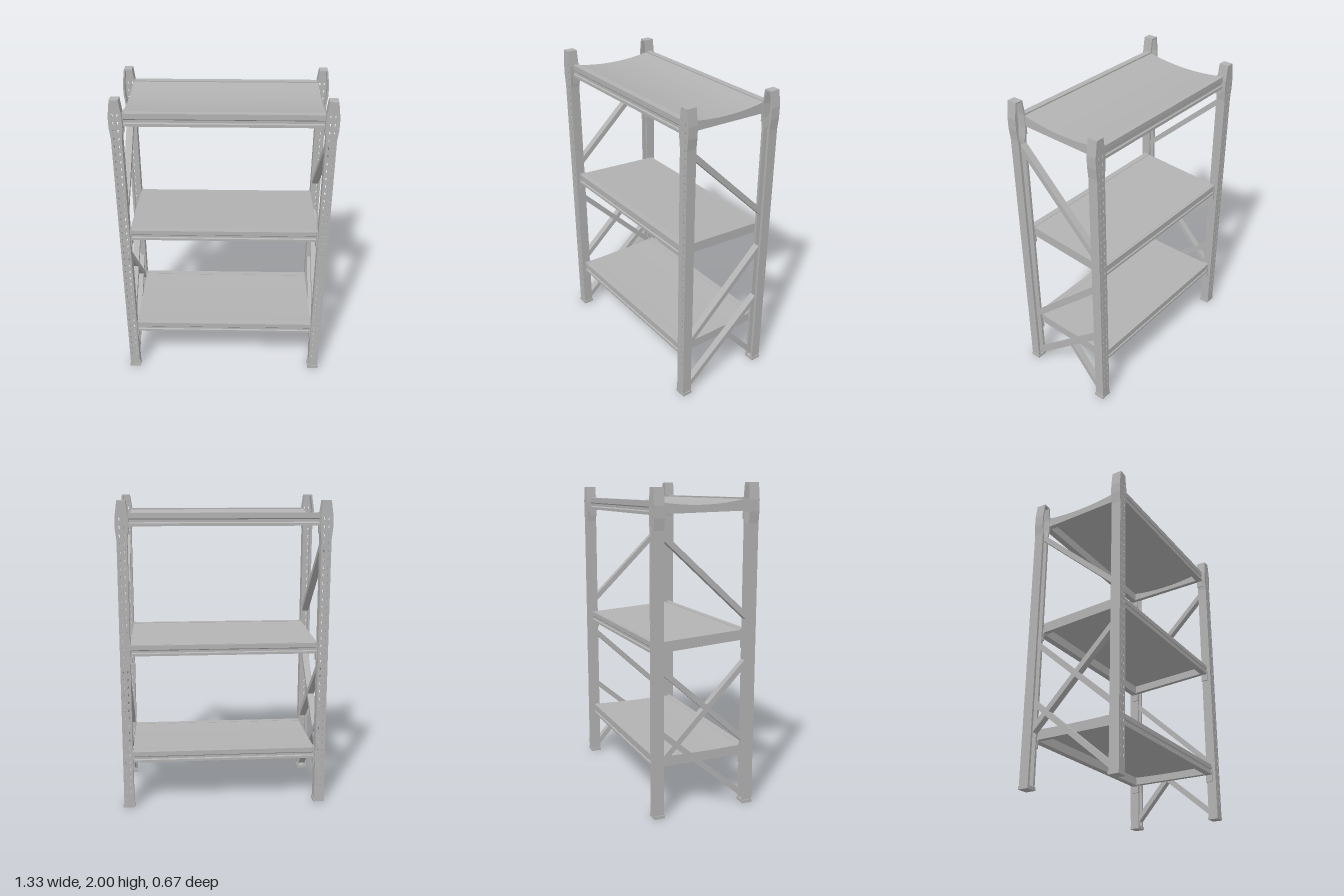
import * as THREE from 'three';

const steel = new THREE.MeshStandardMaterial({ color: 0xb2b2b2, side: THREE.DoubleSide });
steel.name = 'grey steel';

const POST_X = 0.627, POST_Z = 0.302, HALF = 0.032;

function add(parent, geometry, name, x = 0, y = 0, z = 0) {
  const mesh = new THREE.Mesh(geometry, steel);
  mesh.name = name;
  mesh.position.set(x, y, z);
  parent.add(mesh);
  return mesh;
}

const shapeOf = pts => new THREE.Shape(pts.map(p => new THREE.Vector2(p[0], p[1])));
const extrude = (shape, depth) => new THREE.ExtrudeGeometry(shape, { depth, bevelEnabled: false });

// Extrudes a side profile given as [z, y] along x, centred on x = 0
function sideExtrude(pts, length) {
  const g = extrude(shapeOf(pts.map(([z, y]) => [-z, y])), length);
  return g.rotateY(Math.PI / 2).translate(-length / 2, 0, 0);
}

// Upright: perforated outer face, two side flanges, open towards the shelf middle
function post(height) {
  const g = new THREE.Group();
  const edge = [[HALF, 0.01], [HALF, height - 0.24], [0.04, height - 0.17],
    [0.04, height - 0.1], [0.026, height]];
  const mirrored = edge.map(([x, y]) => [-x, y]);
  const face = shapeOf([...edge, ...mirrored.slice().reverse()]);
  // Slots in two columns
  for (let y = 0.1; y < height - 0.08; y += 0.05) {
    for (const s of [-1, 1]) {
      const x = s * 0.014, lean = s * 0.002;
      face.holes.push(new THREE.Path([
        new THREE.Vector2(x - 0.003 - lean, y), new THREE.Vector2(x + 0.003 - lean, y),
        new THREE.Vector2(x + 0.004 + lean, y + 0.018), new THREE.Vector2(x - 0.004 + lean, y + 0.018)]));
    }
  }
  add(g, extrude(face, 0.008), 'postFace', 0, 0, 0.024);
  for (const s of [-1, 1]) {
    const outer = edge.map(([x, y]) => [s * x, y]);
    const inner = edge.map(([x, y]) => [s * (x - 0.01), y]).reverse();
    add(g, extrude(shapeOf([...outer, ...inner]), 0.056), 'postFlange', 0, 0, -0.032);
    // Inward lip of the channel
    add(g, new THREE.BoxGeometry(0.016, height - 0.25, 0.008), 'postLip',
      s * 0.024, (height - 0.25) / 2 + 0.01, -0.028);
  }
  add(g, new THREE.BoxGeometry(0.052, 0.01, 0.064), 'postCap', 0, height - 0.005, 0);
  add(g, new THREE.BoxGeometry(0.074, 0.02, 0.068), 'foot', 0, 0.01, -0.001);
  return g;
}

// Grooved horizontal beam; side is +1 for front and -1 for back
function beamGeometry(side, bottom, top) {
  const h = top - bottom;
  const profile = [[0.27, 0], [0.312, 0], [0.312, 0.22], [0.305, 0.3], [0.305, 0.5],
    [0.31, 0.58], [0.31, 1], [0.27, 1]];
  return sideExtrude(profile.map(([z, t]) => [side * z, bottom + t * h]), 1.18);
}

// Shelf with front and back beams, end rails and a thin panel that may sag
function shelf({ front, back, height, sag }) {
  const g = new THREE.Group();
  const topAt = z => {
    const t = (z + 0.31) / 0.62;
    return back + (front - back) * t - sag * (1 - (z / 0.31) ** 2);
  };
  const topLine = [], underLine = [];
  for (let i = 0; i <= 16; i++) {
    const z = -0.295 + 0.59 * i / 16;
    topLine.push([z, topAt(z)]);
    underLine.unshift([z, topAt(z) - 0.012]);
  }
  add(g, sideExtrude([...topLine, ...underLine], 1.19), 'shelfPanel');
  const rail = [...topLine, [0.295, front - height + 0.004], [-0.295, back - height + 0.004]];
  for (const s of [-1, 1]) {
    add(g, sideExtrude(rail, 0.03), 'endRail', s * 0.58);
    const top = s > 0 ? front : back;
    add(g, beamGeometry(s, top - height, top), s > 0 ? 'frontBeam' : 'backBeam');
    // Hook plates joining the beam to the posts
    for (const x of [-1, 1]) {
      add(g, new THREE.BoxGeometry(0.012, height + 0.05, 0.045), 'beamHook',
        x * 0.592, top - height / 2 - 0.022, s * 0.29);
    }
  }
  return g;
}

// Diagonal strut between two [z, y] points in the end frame
function brace(parent, x, [z1, y1], [z2, y2]) {
  const length = Math.hypot(z2 - z1, y2 - y1);
  const m = add(parent, new THREE.BoxGeometry(0.044, 0.034, length), 'diagonalBrace',
    x, (y1 + y2) / 2, (z1 + z2) / 2);
  m.rotation.x = -Math.atan2(y2 - y1, z2 - z1);
}

export function createModel() {
  const model = new THREE.Group();
  model.name = 'storageRack';

  for (const x of [-1, 1]) {
    for (const z of [-1, 1]) {
      const p = post(z > 0 ? 2 : 1.97);
      p.name = z > 0 ? 'frontPost' : 'backPost';
      p.position.set(x * POST_X, 0, z * POST_Z);
      if (z < 0) p.rotation.y = Math.PI;
      model.add(p);
    }
  }

  const shelves = {
    bottomShelf: { front: 0.37, back: 0.37, height: 0.07, sag: 0.006 },
    middleShelf: { front: 1.115, back: 1.075, height: 0.068, sag: 0 },
    topShelf: { front: 1.91, back: 1.895, height: 0.08, sag: 0.032 },
  };
  for (const [name, spec] of Object.entries(shelves)) {
    const s = shelf(spec);
    s.name = name;
    model.add(s);
  }

  // Struts of each end frame: front z, front y, back z, back y
  const struts = {
    leftBraces: [[0.28, 1.72, -0.28, 1.17], [0.28, 0.4, -0.28, 0.92],
      [0.28, 0.05, -0.28, 0.53], [-0.05, 0.32, -0.28, 0.06]],
    rightBraces: [[0.28, 1.2, -0.28, 1.71], [0.28, 0.92, -0.28, 0.35],
      [0.28, 0.42, -0.28, 0.92], [0.28, 0.05, -0.28, 0.53]],
  };
  for (const [name, list] of Object.entries(struts)) {
    const g = new THREE.Group();
    g.name = name;
    const x = name === 'leftBraces' ? 0.623 : -0.623;
    for (const [z1, y1, z2, y2] of list) brace(g, x, [z1, y1], [z2, y2]);
    model.add(g);
  }
  return model;
}
